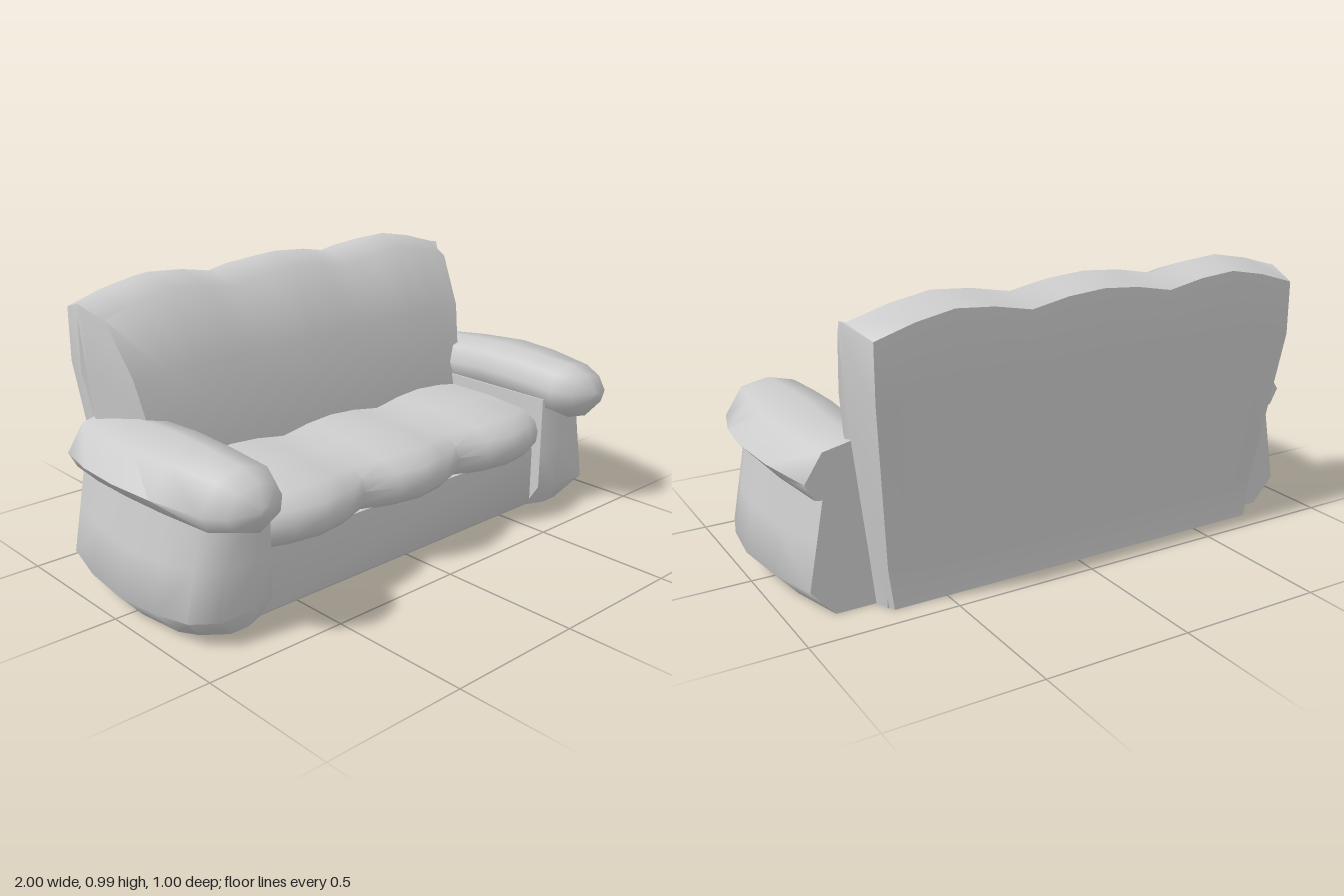
import * as THREE from 'three';
import { toCreasedNormals } from 'three/addons/utils/BufferGeometryUtils.js';

const material = new THREE.MeshStandardMaterial({ color: 0xcccccc });

// Skin a row of equal-length rings of [x, y, z], cap both ends, face outwards.
function loft(name, rings, crease = 0.95) {
  const n = rings[0].length;
  const pos = rings.flat(2);
  const faces = [];
  for (let r = 0; r < rings.length - 1; r++) {
    for (let i = 0; i < n; i++) {
      const j = (i + 1) % n;
      const a = r * n + i, b = r * n + j, c = a + n, d = b + n;
      faces.push([a, b, d], [a, d, c]);
    }
  }
  for (const r of [0, rings.length - 1]) {
    const centre = pos.length / 3;
    for (let k = 0; k < 3; k++) pos.push(rings[r].reduce((s, p) => s + p[k], 0) / n);
    for (let i = 0; i < n; i++) {
      const a = r * n + i, b = r * n + (i + 1) % n;
      faces.push(r === 0 ? [centre, b, a] : [centre, a, b]);
    }
  }
  const at = (i) => new THREE.Vector3().fromArray(pos, i * 3);
  const volume = faces.reduce((s, [a, b, c]) => s + at(a).dot(at(b).cross(at(c))), 0);
  if (volume < 0) faces.forEach((f) => f.reverse());
  const geometry = new THREE.BufferGeometry();
  geometry.setAttribute('position', new THREE.Float32BufferAttribute(pos, 3));
  geometry.setIndex(faces.flat());
  const mesh = new THREE.Mesh(toCreasedNormals(geometry, crease), material);
  mesh.name = name;
  return mesh;
}

// Three rounded bumps across t = -1..1
const bump = (t) => Math.abs(Math.cos(1.5 * Math.PI * t));
const stations = Array.from({ length: 13 }, (_, i) => (i - 6) / 6);

// Backrest: side profile of [z, y, end inset], swept across x with a scalloped top
function backrest() {
  const profile = [
    [-0.42, 0, 0.03], [-0.42, 0.14, 0.03], [-0.5, 0.7, 0.04], [-0.5, 0.95, 0.04],
    [-0.38, 0.985, 0.01], [-0.27, 0.945, 0.04], [-0.17, 0.7, 0.07], [-0.14, 0.57, 0.08],
    [-0.1, 0.4, 0.08], [-0.1, 0, 0.08],
  ];
  const halfWidth = (y) => 0.74 + 0.085 * Math.min(1, y / 0.65);
  const lift = (t, y) => (y < 0.9 ? 0
    : 0.035 * (bump(t) - 1) - 0.09 * Math.max(0, Math.abs(t) - 0.67));
  const core = stations.map((t) => profile.map(([z, y, inset]) =>
    [-0.025 + t * (halfWidth(y) - inset), y + lift(t, y), z]));
  const end = (s) => profile.map(([z, y]) =>
    [-0.025 + s * halfWidth(y), y + lift(1, y), -0.35 + (z + 0.35) * 0.12]);
  return loft('backrest', [end(-1), ...core, end(1)]);
}

// Seat cushion: profile of [z, y, z bump, y bump] with a scalloped front and top
function seatCushion() {
  const profile = [
    [-0.3, 0.22, 0, 0], [0.25, 0.22, 0, 0], [0.29, 0.235, 0.06, 0], [0.315, 0.27, 0.07, 0],
    [0.32, 0.31, 0.075, 0], [0.305, 0.35, 0.07, 0.005], [0.25, 0.38, 0.06, 0.015],
    [0.1, 0.393, 0.02, 0.025], [-0.3, 0.395, 0, 0.025],
  ];
  return loft('seatCushion', stations.map((t) => profile.map(([z, y, dz, dy]) =>
    [0.68 * t, y + dy * bump(t), z + dz * bump(t)])));
}

// Seat base with a small bevel along the lower front edge
function seatBase() {
  const profile = [[-0.4, 0], [0.29, 0], [0.31, 0.02], [0.31, 0.24], [-0.4, 0.24]];
  return loft('seatBase', [-0.7, 0.7].map((x) => profile.map(([z, y]) => [x, y, z])));
}

// Arm panel: plan outline stacked up in y, flared near the floor
function armPanel(side) {
  const levels = [[0, 0.92, 0.32], [0.09, 1.0, 0.38], [0.25, 0.97, 0.38], [0.44, 0.935, 0.38]];
  return loft('armPanel', levels.map(([y, out, front]) => [
    [0.65, -0.35], [out - 0.07, -0.35], [out - 0.02, -0.16], [out, 0.03],
    [out - 0.02, 0.2], [out - 0.055, front - 0.06], [out - 0.13, front],
    [0.72, front], [0.65, front - 0.03],
  ].map(([x, z]) => [side * x, y, z])));
}

// Armrest pad: cross-section swept along z, closing to a blunt nose
function armrest(side) {
  const section = [
    [0.66, 0.42], [0.65, 0.49], [0.68, 0.55], [0.77, 0.573], [0.87, 0.552],
    [0.93, 0.46], [0.9, 0.405], [0.77, 0.385],
  ];
  // [z, outward bulge, scale, rise]
  const steps = [
    [-0.35, 0, 1, -0.02], [-0.16, 0.05, 1, -0.005], [0.03, 0.07, 1, 0.005],
    [0.2, 0.05, 1, 0], [0.38, 0, 1, -0.012], [0.455, 0, 0.72, -0.012], [0.497, 0, 0.15, -0.015],
  ];
  return loft('armrest', steps.map(([z, bulge, s, rise]) => section.map(([x, y]) => {
    const reach = x > 0.85 ? (x > 0.92 ? 1 : 0.7) : 0;
    const drop = z > 0.3 && z < 0.46 && y < 0.4 && x < 0.8 ? 0.02 : 0;
    return [side * (0.78 + (x - 0.78) * s + bulge * reach),
      0.475 + (y - 0.475) * s + rise - drop, z];
  })), 1.2);
}

export function createModel() {
  const sofa = new THREE.Group();
  sofa.name = 'sofa';
  sofa.add(backrest(), seatCushion(), seatBase());
  for (const side of [-1, 1]) {
    const arm = new THREE.Group();
    arm.name = side > 0 ? 'leftArm' : 'rightArm';
    arm.add(armPanel(side), armrest(side));
    sofa.add(arm);
  }
  return sofa;
}
